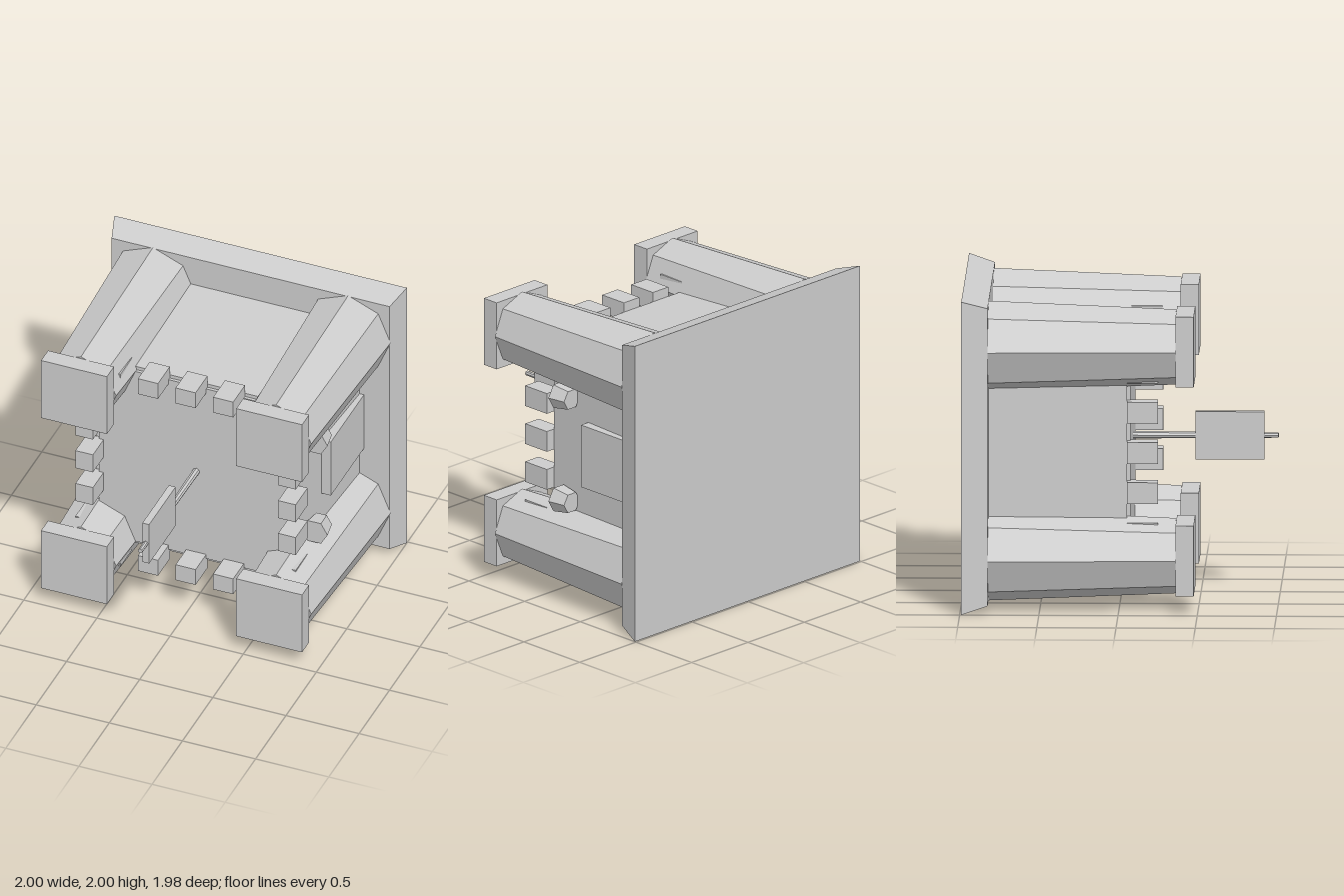
import * as THREE from 'three';

// Toy castle tipped onto its edge: modelled upright, then turned so its top faces +z
export function createModel() {
  const stone = new THREE.MeshStandardMaterial({ color: 0xcccccc });
  stone.name = 'stone grey';

  const castle = new THREE.Group();
  castle.name = 'castle';

  function add(name, geometry, x, y, z) {
    const flat = geometry.toNonIndexed();
    flat.computeVertexNormals(); // hard facets
    const mesh = new THREE.Mesh(flat, stone);
    mesh.name = name;
    mesh.position.set(x, y, z);
    castle.add(mesh);
    return mesh;
  }
  const box = (w, h, d) => new THREE.BoxGeometry(w, h, d);
  // Square block with sloping sides, given half widths
  const taperedBlock = (top, bottom, h) =>
    new THREE.CylinderGeometry(top * Math.SQRT2, bottom * Math.SQRT2, h, 4).rotateY(Math.PI / 4);

  // Ground slab, walls and raised courtyard floor
  add('base', taperedBlock(0.95, 1, 0.165), 0, -0.9075, 0);
  add('walls', taperedBlock(0.69, 0.745, 0.875), 0, -0.3875, 0);
  add('courtyardFloor', box(1.33, 0.07, 1.33), 0, 0.035, 0);

  // Corner towers with square caps
  for (const x of [-0.667, 0.667]) {
    for (const z of [-0.667, 0.667]) {
      add('tower', new THREE.CylinderGeometry(0.24, 0.29, 1.185, 8), x, -0.2325, z);
      add('towerCap', box(0.45, 0.115, 0.45), x, 0.4175, z);
    }
  }

  // Merlons along all four walls; the end ones sink into the towers
  for (let i = -2; i <= 2; i++) {
    const s = i * 0.257;
    for (const side of [-0.693, 0.693]) {
      add('merlon', box(0.137, 0.195, 0.12), s, 0.1475, side);
      add('merlon', box(0.12, 0.195, 0.137), side, 0.1475, s);
    }
  }

  // Gate and the two small turrets beside it
  add('gate', box(0.12, 0.545, 0.42), 0.715, -0.5525, 0);
  for (const z of [-0.35, 0.35]) {
    const turret = new THREE.CylinderGeometry(0.09, 0.07, 0.12, 6).rotateY(Math.PI / 2);
    add('gateTurret', turret, 0.755, -0.117, z);
  }

  // Flag on its pole
  add('flagPole', new THREE.CylinderGeometry(0.016, 0.024, 0.94, 8), 0, 0.52, 0);
  add('flag', box(0.046, 0.435, 0.305), 0, 0.6825, 0);

  castle.rotation.x = Math.PI / 2;
  castle.position.y = 1;
  const model = new THREE.Group();
  model.name = 'castleModel';
  model.add(castle);
  return model;
}
